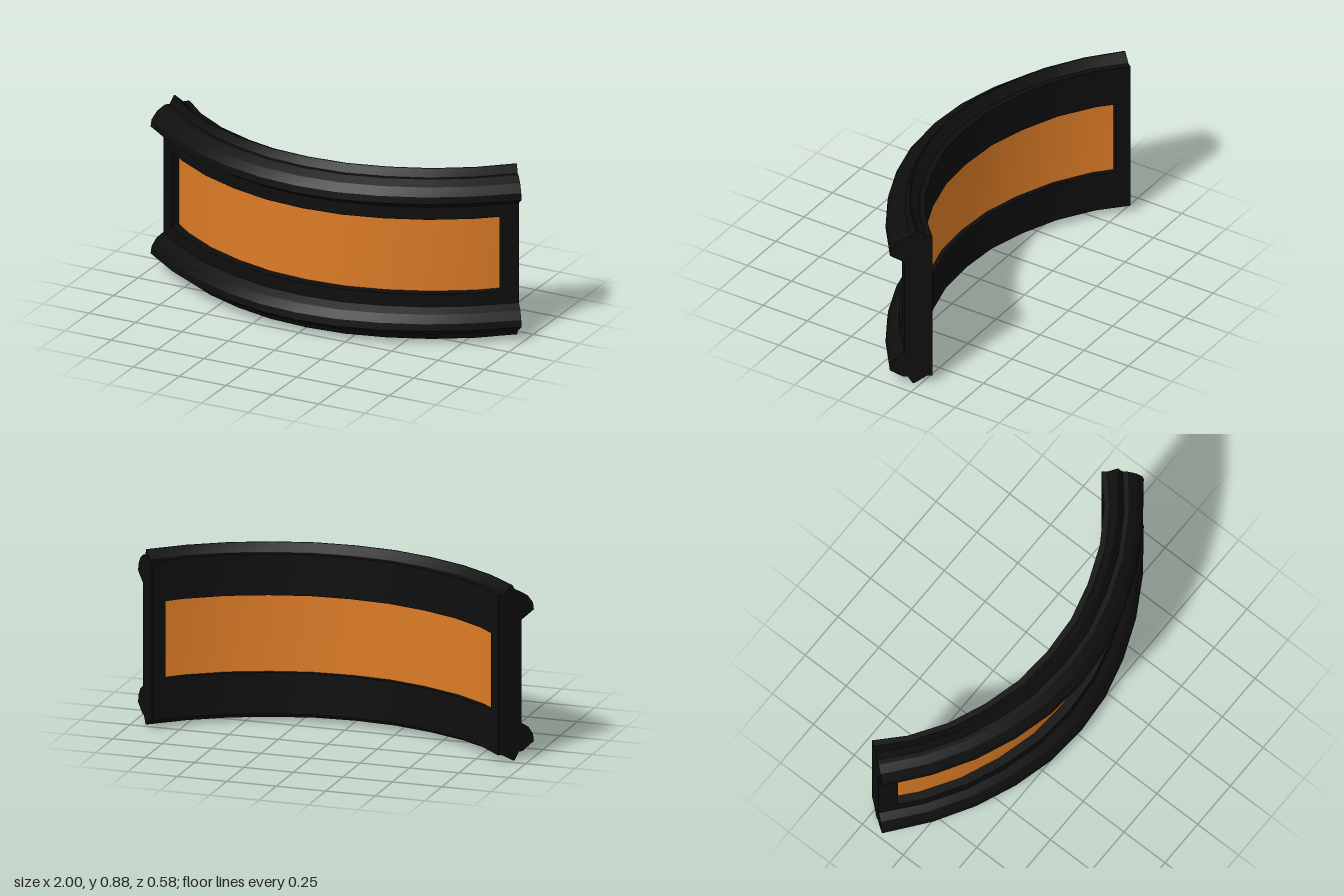
import * as THREE from 'three';
import { toCreasedNormals } from 'three/addons/utils/BufferGeometryUtils.js';

// Plan of the bend from its middle to one end: [x, z] on the back and front edges
const BACK = [[0, 0.08], [0.2, 0.066], [0.39, 0.016], [0.58, -0.062], [0.75, -0.172], [0.875, -0.29]];
const FRONT = [[0, 0.287], [0.205, 0.27], [0.41, 0.217], [0.61, 0.135], [0.803, 0.022], [1, -0.13]];

const lerp = (a, b, u) => a + (b - a) * u;

// Point at station s (-5..5 along the bend), depth t (0 back, 1 front) and height y
function place(s, t, y) {
  const a = Math.abs(s), i = Math.min(4, Math.floor(a)), u = a - i;
  const on = (edge, k) => lerp(edge[i][k], edge[i + 1][k], u);
  const x = lerp(on(BACK, 0), on(FRONT, 0), t);
  return [Math.sign(s) * x, y, lerp(on(BACK, 1), on(FRONT, 1), t)];
}

// Sweep a counter-clockwise [t, y] profile from station s0 to s1, with end caps
function sweep(profile, s0, s1) {
  const stations = [s0];
  for (let s = Math.floor(s0) + 1; s < s1; s++) stations.push(s);
  stations.push(s1);
  const pos = [], n = profile.length;
  const add = (s, i) => pos.push(...place(s, ...profile[i % n]));
  for (let k = 0; k < stations.length - 1; k++) {
    const a = stations[k], b = stations[k + 1];
    for (let i = 0; i < n; i++) {
      add(a, i); add(b, i); add(b, i + 1);
      add(a, i); add(b, i + 1); add(a, i + 1);
    }
  }
  const contour = profile.map(p => new THREE.Vector2(...p));
  for (const [i, j, k] of THREE.ShapeUtils.triangulateShape(contour, [])) {
    add(s0, i); add(s0, j); add(s0, k);
    add(s1, k); add(s1, j); add(s1, i);
  }
  const g = new THREE.BufferGeometry();
  g.setAttribute('position', new THREE.Float32BufferAttribute(pos, 3));
  return toCreasedNormals(g, 0.3);
}

const rect = (t0, t1, y0, y1) => [[t0, y0], [t1, y0], [t1, y1], [t0, y1]];

export function createModel() {
  const group = new THREE.Group();
  const black = new THREE.MeshStandardMaterial({ name: 'black', color: 0x0e0e0e });
  const orange = new THREE.MeshStandardMaterial({ name: 'orange', color: 0xdc7b26 });
  const part = (name, geometry, material) => {
    const m = new THREE.Mesh(geometry, material);
    m.name = name;
    group.add(m);
  };

  // Rails: a ridge on the outside, a rounded lip in front and a neck toward the panel
  part('bottomRail', sweep([
    [0, 0.04], [0.12, 0.04], [0.43, 0], [0.46, 0], [0.58, 0.04], [0.68, 0.04],
    [1, 0.08], [0.975, 0.115], [0.85, 0.155], [0.66, 0.18], [0.66, 0.245], [0, 0.245],
  ], -5, 5), black);
  part('topRail', sweep([
    [0, 0.63], [0.66, 0.63], [0.66, 0.695], [1, 0.735], [0.975, 0.77], [0.83, 0.81],
    [0.63, 0.835], [0.51, 0.835], [0.4, 0.875], [0.37, 0.875], [0.15, 0.835], [0, 0.835],
  ], -5, 5), black);

  // Posts closing both ends
  const post = rect(0, 0.66, 0.24, 0.635);
  part('leftPost', sweep(post, 4.58, 5), black);
  part('rightPost', sweep(post, -5, -4.58), black);

  // Curved panel held inside the frame
  part('panel', sweep(rect(0.12, 0.44, 0.23, 0.645), -4.8, 4.8), orange);

  return group;
}
